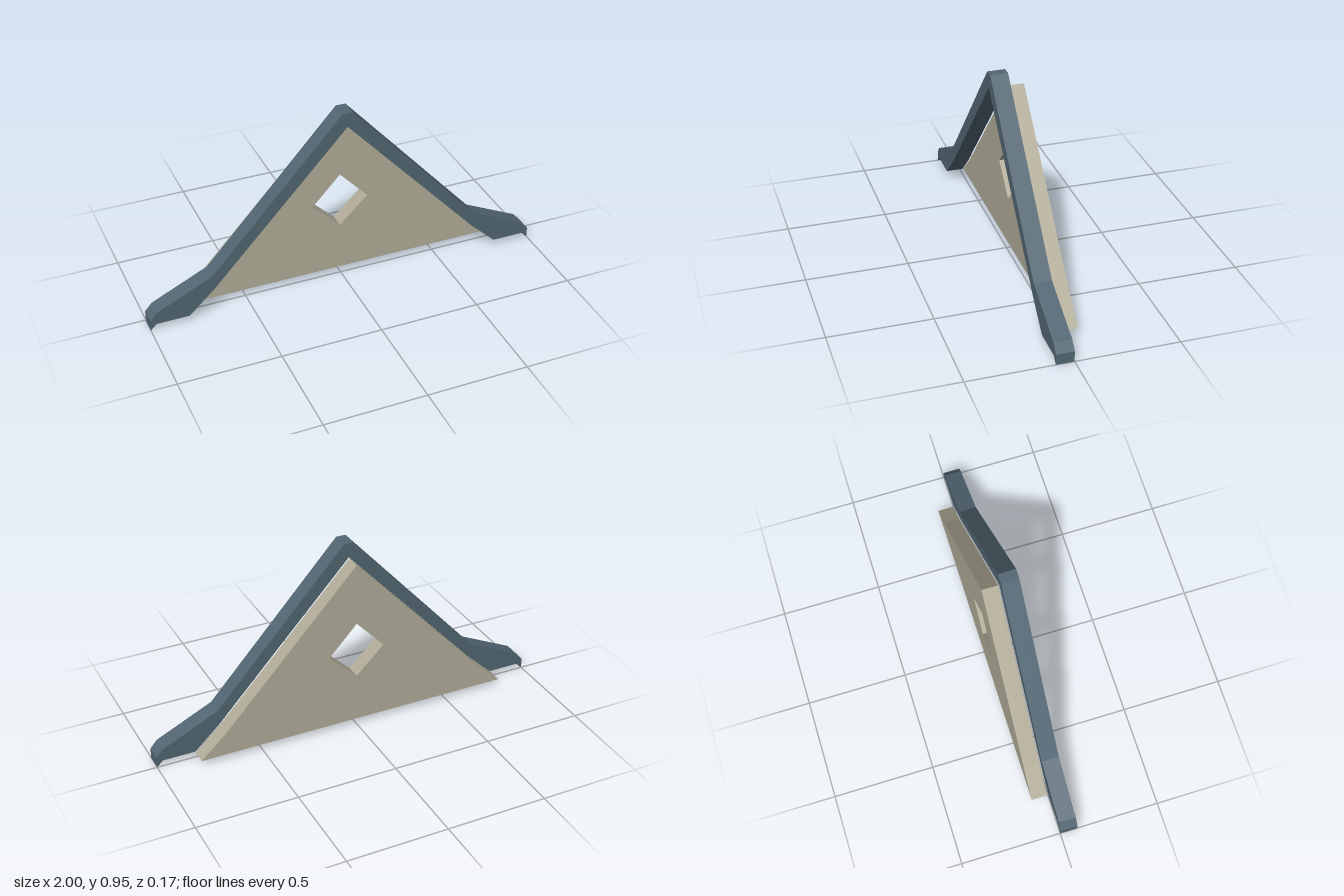
import * as THREE from 'three';

const trimMaterial = new THREE.MeshStandardMaterial({ name: 'slate blue trim', color: 0x526672 });
const wallMaterial = new THREE.MeshStandardMaterial({ name: 'beige wall', color: 0xb2ad99 });

// Closed outline from its right half plus the mirrored left half
function mirroredShape(half) {
  const left = half.filter(([x]) => x !== 0).map(([x, y]) => [-x, y]).reverse();
  return new THREE.Shape([...half, ...left].map(([x, y]) => new THREE.Vector2(x, y)));
}

function addSlab(group, name, shape, material, back, front) {
  const geometry = new THREE.ExtrudeGeometry(shape, { depth: front - back, bevelEnabled: false });
  geometry.translate(0, 0, back);
  const mesh = new THREE.Mesh(geometry, material);
  mesh.name = name;
  group.add(mesh);
}

export function createModel() {
  const group = new THREE.Group();
  group.name = 'gable';

  // Underside of the rafters, which the wall also follows: apex, kink, eave
  const apex = [0, 0.88], kink = [0.677, 0.152], eave = [0.808, 0.03];

  // Bargeboard with a clipped peak, flared eaves and hooked feet
  const trim = mirroredShape([
    apex, kink, eave,
    [0.97, 0.03], [1, 0], [1, 0.053], [0.965, 0.093], [0.685, 0.225], [0.024, 0.953],
  ]);
  addSlab(group, 'bargeboard', trim, trimMaterial, 0, 0.086);

  // Gable wall with a diamond window opening, wound against the outline
  const wall = mirroredShape([apex, kink, eave]);
  wall.holes.push(new THREE.Path([
    new THREE.Vector2(0, 0.567), new THREE.Vector2(-0.143, 0.415),
    new THREE.Vector2(0, 0.277), new THREE.Vector2(0.143, 0.415),
  ]));
  addSlab(group, 'gableWall', wall, wallMaterial, -0.085, -0.007);

  return group;
}
